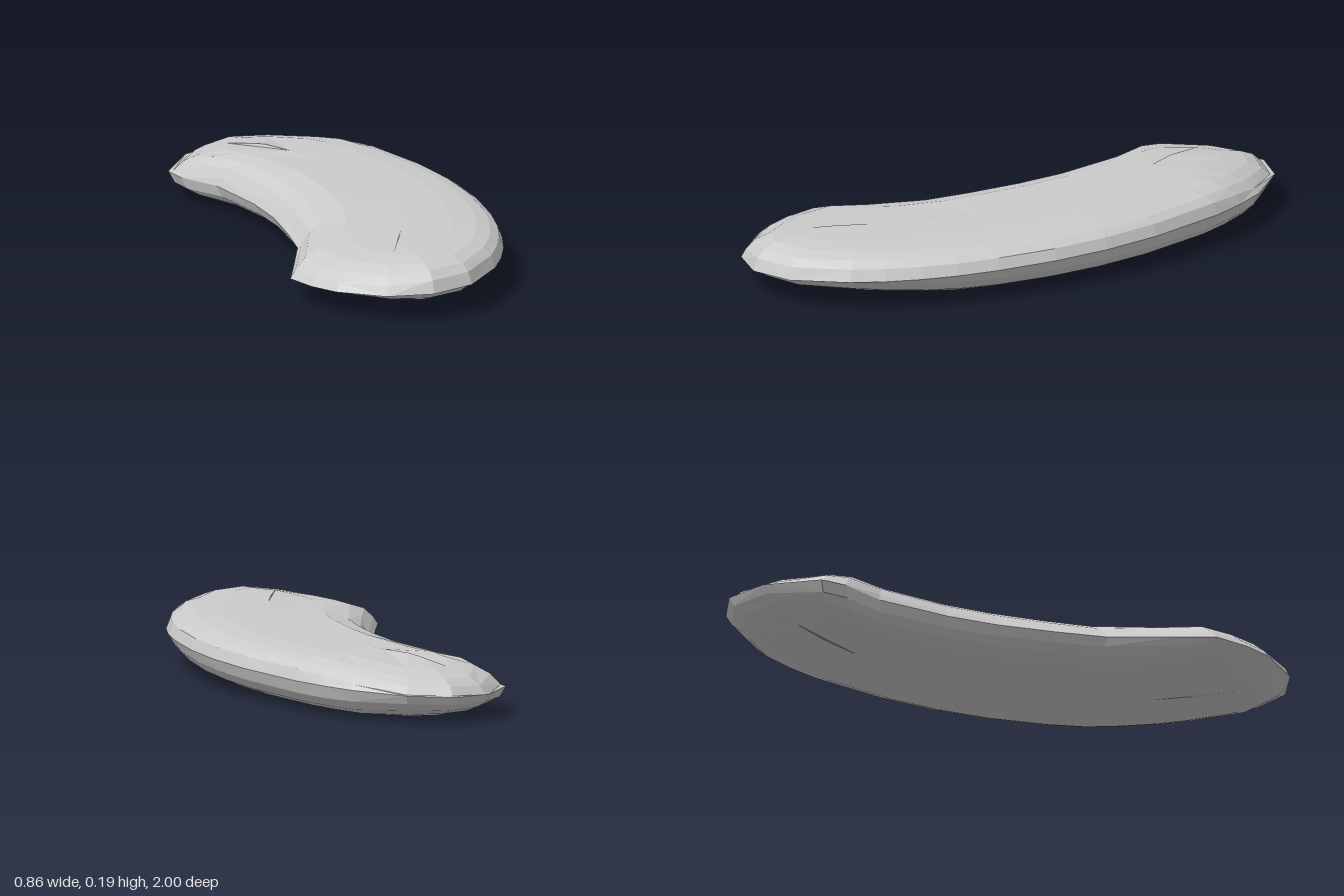
import * as THREE from 'three';

// Stations from the back tip to the front tip: inner rim x, z and outer rim x, z
const STATIONS = [
  [-0.07, -1, -0.07, -1],
  [-0.22, -0.94, 0.08, -0.95],
  [-0.34, -0.78, 0.22, -0.8],
  [-0.33, -0.69, 0.28, -0.69],
  [-0.26, -0.54, 0.33, -0.57],
  [-0.225, -0.28, 0.4, -0.29],
  [-0.225, -0.1, 0.425, -0.08],
  [-0.25, 0.1, 0.425, 0.12],
  [-0.28, 0.27, 0.4, 0.33],
  [-0.37, 0.47, 0.37, 0.47],
  [-0.43, 0.6, 0.33, 0.59],
  [-0.4, 0.72, 0.28, 0.7],
  [-0.35, 0.82, 0.22, 0.8],
  [-0.22, 0.95, 0.08, 0.95],
  [-0.07, 0.995, -0.07, 0.995],
];

// Rounded section from the bottom to the top: [share of the way from spine to rim, height]
const SECTION = [
  [0, 0.006], [0.5, 0.01], [0.7, 0.02], [0.85, 0.038], [0.95, 0.064], [1, 0.098],
  [0.955, 0.14], [0.87, 0.166], [0.74, 0.182], [0.5, 0.189], [0, 0.19],
];

const ramp = (v, from, to) => THREE.MathUtils.clamp((v - from) / (to - from), 0, 1);

// The underside lifts towards both tips, most at the front
const bottomLift = (z) =>
  0.01 * z + 0.022 * ramp(z, 0.4, 0.8) + 0.015 * ramp(-z, 0.75, 0.9);

// The top falls away towards the back tip and the hollow inner side
const topDrop = (x, z) =>
  0.04 * ramp(-z, 0.62, 0.92) +
  (0.02 + 0.015 * (1 - ramp(Math.abs(z), 0.2, 0.5))) * ramp(-x, 0.07, 0.27);

function beanGeometry() {
  // closed outline: outer side to the front, inner side back again
  const outline = STATIONS.map(([ix, iz, ox, oz]) => ({ x: ox, z: oz, sz: 0.33 * (iz + oz) }));
  for (let i = STATIONS.length - 2; i > 0; i--) {
    const [ix, iz, , oz] = STATIONS[i];
    outline.push({ x: ix, z: iz, sz: 0.33 * (iz + oz) });
  }

  const positions = [];
  const index = [];
  const n = outline.length;

  SECTION.forEach(([t, h], ring) => {
    for (const { x, z, sz } of outline) {
      // curved spine, shorter than the bean so both ends stay round
      const sx = 0.1 - 0.4 * sz * sz;
      const px = sx + (x - sx) * t;
      const pz = sz + (z - sz) * t;
      // the rim slopes up to the outer side
      let y = h + 0.04 * px * ramp(t, 0.8, 1);
      if (ring < 5) y += bottomLift(pz);
      if (ring > 5) y -= topDrop(px, pz);
      positions.push(px, y, pz);
    }
  });

  for (let r = 0; r < SECTION.length - 1; r++) {
    for (let i = 0; i < n; i++) {
      const a = r * n + i;
      const b = r * n + ((i + 1) % n);
      const c = a + n;
      const d = b + n;
      // alternate the diagonals for an even faceted surface
      if ((r + i) % 2) index.push(a, c, b, b, c, d);
      else index.push(a, c, d, a, d, b);
    }
  }

  const geometry = new THREE.BufferGeometry();
  geometry.setAttribute('position', new THREE.Float32BufferAttribute(positions, 3));
  geometry.setIndex(index);
  geometry.computeVertexNormals();
  return geometry;
}

export function createModel() {
  const group = new THREE.Group();
  const material = new THREE.MeshStandardMaterial({ color: 0xcccccc, flatShading: true });
  const body = new THREE.Mesh(beanGeometry(), material);
  body.name = 'beanBody';
  group.add(body);
  return group;
}
